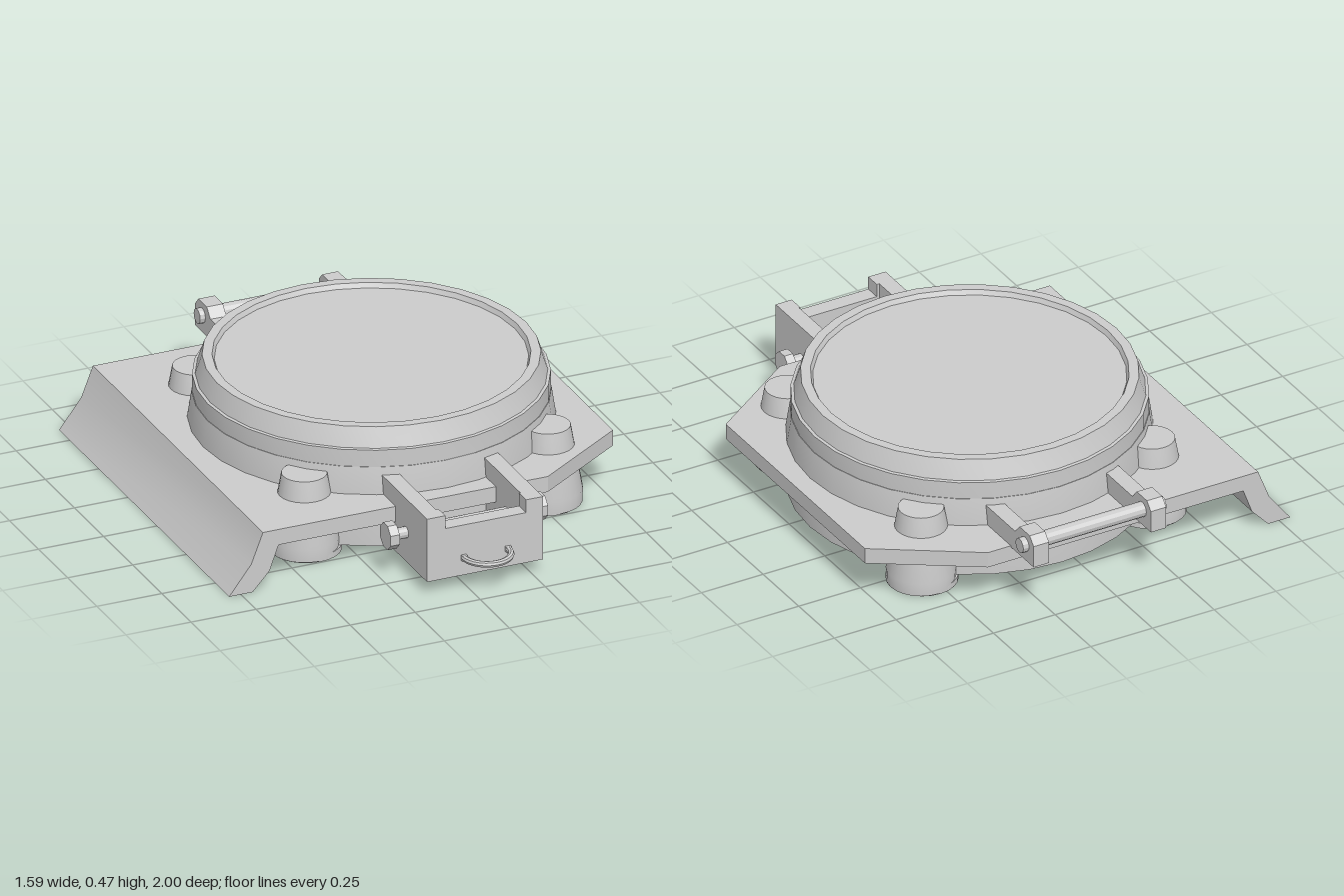
import * as THREE from 'three';
import { toCreasedNormals } from 'three/addons/utils/BufferGeometryUtils.js';

const CX = 0.07, CZ = -0.09; // centre of the round hatch

export function createModel() {
  const model = new THREE.Group();
  const material = new THREE.MeshStandardMaterial({ color: 0xcccccc });

  const add = (name, geometry, x = 0, y = 0, z = 0) => {
    const mesh = new THREE.Mesh(toCreasedNormals(geometry, 0.5), material);
    mesh.name = name;
    mesh.position.set(x, y, z);
    model.add(mesh);
    return mesh;
  };
  const box = (name, x0, x1, y0, y1, z0, z1) =>
    add(name, new THREE.BoxGeometry(x1 - x0, y1 - y0, z1 - z0), (x0 + x1) / 2, (y0 + y1) / 2, (z0 + z1) / 2);
  const lathe = (points, sides) =>
    new THREE.LatheGeometry(points.map(([r, y]) => new THREE.Vector2(r, y)), sides);
  const extrude = (points, depth) =>
    new THREE.ExtrudeGeometry(new THREE.Shape(points.map(([a, b]) => new THREE.Vector2(a, b))),
      { depth, bevelEnabled: false });
  // cylinder lying along x
  const rod = (name, r, x0, x1, y, z, sides = 12) =>
    add(name, new THREE.CylinderGeometry(r, r, x1 - x0, sides).rotateZ(Math.PI / 2), (x0 + x1) / 2, y, z);

  // Round body, tapering above the deck plate
  add('body', lathe([[0, 0.025], [0.648, 0.025], [0.648, 0.22], [0.632, 0.325], [0, 0.325]], 32), CX, 0, CZ);

  // Lid with a bevelled rim and a shallow recessed top
  add('lid', lathe([[0, 0.32], [0.63, 0.325], [0.63, 0.39], [0.619, 0.392], [0.595, 0.465],
    [0.56, 0.465], [0.552, 0.447], [0, 0.447]], 32), CX, 0, CZ);

  // Deck plate with two cut corners
  add('deckPlate', extrude([[-0.64, -0.62], [0.43, -0.62], [0.79, -0.375], [0.79, 0.6], [0.43, 0.84], [-0.64, 0.84]], 0.06)
    .rotateX(-Math.PI / 2), 0, 0.165, 0);

  // Bent lip running down the side of the deck
  add('sideLip', extrude([[-0.605, 0.165], [-0.605, 0.225], [-0.665, 0.225], [-0.71, 0.11], [-0.795, 0],
    [-0.705, 0], [-0.64, 0.07]].reverse(), 1.46), 0, 0, -0.84);

  // Tapered feet passing through the deck, each on a flat pad
  for (const sx of [-1, 1]) {
    for (const sz of [-1, 1]) {
      add('foot', lathe([[0, 0.005], [0.122, 0.005], [0.124, 0.055], [0.081, 0.3], [0, 0.3]], 24),
        CX + sx * 0.468, 0, CZ + sz * 0.468);
      add('footPad', new THREE.CylinderGeometry(0.128, 0.128, 0.022, 24), CX + sx * 0.458, 0.011, CZ + sz * 0.458);
    }
  }

  // Front bracket: two arms joined by a notched front panel
  box('frontArm', -0.155, -0.095, 0.05, 0.295, 0.48, 0.84);
  box('frontArm', 0.23, 0.29, 0.05, 0.295, 0.48, 0.84);
  add('frontPanel', extrude([[-0.155, 0.05], [0.29, 0.05], [0.29, 0.295], [0.225, 0.295], [0.225, 0.245],
    [-0.085, 0.245], [-0.085, 0.295], [-0.155, 0.295]], 0.06), 0, 0, 0.83);

  // Bolt through the front arms
  rod('frontBolt', 0.021, -0.21, 0.34, 0.165, 0.71);
  rod('frontBoltHead', 0.05, -0.235, -0.2, 0.165, 0.71, 8).rotation.x = Math.PI / 8;
  rod('frontBoltHead', 0.05, 0.335, 0.37, 0.165, 0.71, 8).rotation.x = Math.PI / 8;

  // Half-ring pull handle
  add('pullHandle', new THREE.TorusGeometry(0.085, 0.012, 8, 20, Math.PI).rotateX(Math.PI / 2), CX, 0.12, 0.9);
  for (const s of [-1, 1]) box('handleEnd', CX + s * 0.085 - 0.01, CX + s * 0.085 + 0.01, 0.11, 0.13, 0.885, 0.902);

  // Rear hinge arms, with raised ends holding the pin
  const armProfile = [[0.6, 0.22], [1, 0.22], [1, 0.305], [0.972, 0.335], [0.9, 0.335], [0.87, 0.3], [0.6, 0.3]];
  for (const x of [-0.2, 0.275]) {
    add('hingeArm', extrude(armProfile, 0.062).rotateY(Math.PI / 2), x, 0, 0);
  }
  rod('hingePin', 0.028, -0.22, 0.36, 0.285, -0.94);

  return model;
}
